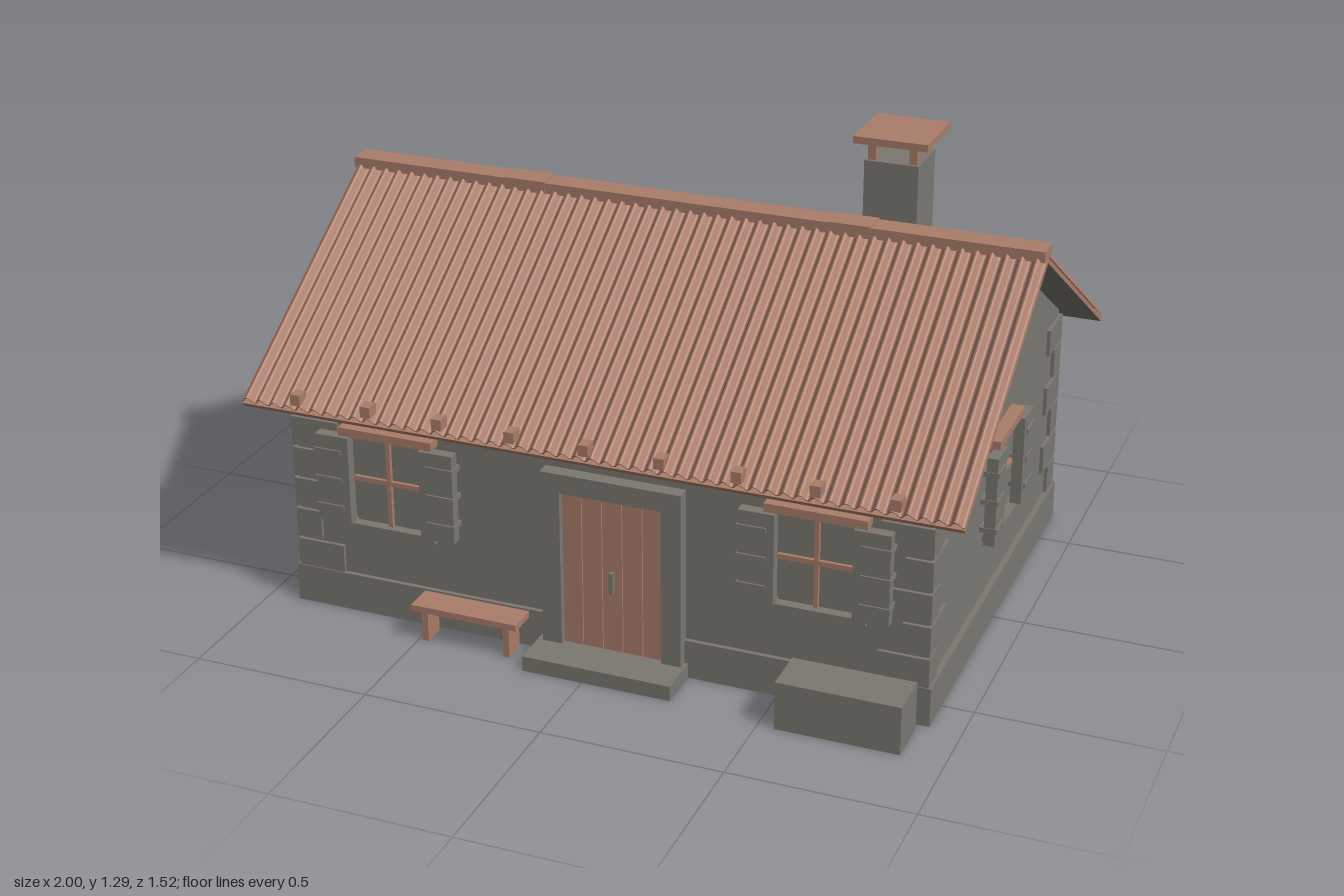
import * as THREE from 'three';

const stone = new THREE.MeshStandardMaterial({ color: 0x7b7871 });
stone.name = 'grey stone';
const clay = new THREE.MeshStandardMaterial({ color: 0xaa7c6a });
clay.name = 'red brown clay';

const MID = -0.025; // z of the ridge and house centre
const ANGLE = 0.558; // roof pitch

// Box given by its limits on each axis
function box(parent, name, mat, [x0, x1], [y0, y1], [z0, z1]) {
  const mesh = new THREE.Mesh(new THREE.BoxGeometry(x1 - x0, y1 - y0, z1 - z0), mat);
  mesh.position.set((x0 + x1) / 2, (y0 + y1) / 2, (z0 + z1) / 2);
  mesh.name = name;
  parent.add(mesh);
  return mesh;
}

function group(parent, name) {
  const g = new THREE.Group();
  g.name = name;
  parent.add(g);
  return g;
}

// Window with shutters, facing +z, origin at wall surface and sill height
function addWindow(parent, name, x, y, z, turn, half, outer) {
  const g = group(parent, name);
  g.position.set(x, y, z);
  g.rotation.y = turn;
  const h = 0.257;
  box(g, 'pane', stone, [-half, half], [0, h], [-0.005, 0.004]);
  box(g, 'mullion', clay, [-0.006, 0.006], [0, h], [0, 0.016]);
  box(g, 'glazingBar', clay, [-half, half], [h / 2 - 0.007, h / 2 + 0.007], [0, 0.014]);
  box(g, 'lintel', clay, [-half - 0.033, half + 0.033], [h, h + 0.024], [-0.01, 0.032]);
  box(g, 'sill', stone, [-half - 0.033, half + 0.033], [-0.021, 0], [-0.01, 0.032]);
  for (const s of [-1, 1]) {
    const span = (a, b) => [Math.min(s * a, s * b), Math.max(s * a, s * b)];
    box(g, 'shutter', stone, span(half, outer), [0, h], [0.012, 0.043]);
    for (const f of [0.18, 0.5, 0.82]) {
      box(g, 'hingeStrap', stone, span(half + 0.02, outer + 0.003), [h * f - 0.007, h * f + 0.007], [0, 0.048]);
    }
  }
}

// Corrugated tile sheet running down local +z
function tileGeometry(length) {
  const waves = 50, steps = waves * 8, top = [], bottom = [];
  for (let i = 0; i <= steps; i++) {
    const x = -1 + (2 * i) / steps;
    const y = 0.03 - 0.0095 * Math.cos((i / 8) * Math.PI * 2);
    top.push(new THREE.Vector2(x, y));
    bottom.push(new THREE.Vector2(x, y - 0.004));
  }
  const shape = new THREE.Shape([...bottom, ...top.reverse()]);
  return new THREE.ExtrudeGeometry(shape, { depth: length, bevelEnabled: false });
}

export function createModel() {
  const model = new THREE.Group();
  model.name = 'cottage';

  // Plinth and gabled walls
  box(model, 'plinth', stone, [-0.912, 0.912], [0, 0.11], [MID - 0.635, MID + 0.635]);
  const gable = new THREE.Shape([
    new THREE.Vector2(-0.622, 0.1), new THREE.Vector2(0.622, 0.1),
    new THREE.Vector2(0.622, 0.665), new THREE.Vector2(0, 1.053), new THREE.Vector2(-0.622, 0.665),
  ]);
  const walls = new THREE.Mesh(new THREE.ExtrudeGeometry(gable, { depth: 1.79, bevelEnabled: false }), stone);
  walls.name = 'walls';
  walls.rotation.y = Math.PI / 2;
  walls.position.set(-0.895, 0, MID);
  model.add(walls);

  // Corner stones, long and short in turn
  const quoins = group(model, 'cornerStones');
  for (const sx of [-1, 1]) for (const sz of [-1, 1]) for (let i = 0; i < 6; i++) {
    const lx = i % 2 ? 0.075 : 0.14, lz = i % 2 ? 0.14 : 0.075;
    const y = 0.107 + i * 0.0925;
    const xs = [sx * 0.905, sx * (0.905 - lx)].sort((a, b) => a - b);
    const zs = [MID + sz * 0.632, MID + sz * (0.632 - lz)].sort((a, b) => a - b);
    box(quoins, 'cornerStone', stone, xs, [y, y + (i === 5 ? 0.077 : 0.084)], zs);
  }

  // Both roof slopes
  const tiles = tileGeometry(0.853);
  for (const [name, turn] of [['frontRoof', 0], ['backRoof', Math.PI]]) {
    const side = group(model, name);
    side.position.set(0, 1.05, MID);
    side.rotation.y = turn;
    const slope = group(side, 'slope');
    slope.rotation.x = ANGLE;
    box(slope, 'roofBoard', [clay, clay, clay, stone, clay, clay], [-1, 1], [0, 0.013], [-0.004, 0.835]);
    const sheet = new THREE.Mesh(tiles, clay);
    sheet.name = 'roofTiles';
    sheet.position.z = -0.02;
    slope.add(sheet);
    // Snow guards along the eave
    for (let i = -4; i <= 4; i++) {
      const x = i * 0.2075;
      box(side, 'snowGuard', clay, [x - 0.014, x + 0.014], [-0.405, -0.374], [0.692, 0.73]);
    }
  }

  // Ridge cap with overlapping joints
  const ridge = group(model, 'ridgeCap');
  box(ridge, 'ridgeBoard', clay, [-1, 1], [1.063, 1.093], [MID - 0.037, MID + 0.037]);
  for (const x of [-0.47, 0.47]) {
    box(ridge, 'ridgeJoint', clay, [x - 0.06, x + 0.06], [1.062, 1.096], [MID - 0.039, MID + 0.039]);
  }

  // Chimney
  const chimney = group(model, 'chimney');
  box(chimney, 'stack', stone, [0.457, 0.608], [0.85, 1.222], [-0.3, -0.145]);
  for (const x of [0.475, 0.59]) for (const z of [-0.28, -0.165]) {
    box(chimney, 'capPost', clay, [x - 0.011, x + 0.011], [1.222, 1.276], [z - 0.011, z + 0.011]);
  }
  box(chimney, 'cap', clay, [0.433, 0.639], [1.275, 1.295], [-0.327, -0.118]);

  // Door with stone surround, planks, handle and step
  const door = group(model, 'door');
  box(door, 'leftJamb', stone, [0.185, 0.24], [0.04, 0.49], [0.59, 0.637]);
  box(door, 'rightJamb', stone, [-0.155, -0.1], [0.04, 0.49], [0.59, 0.637]);
  box(door, 'doorLintel', stone, [-0.155, 0.24], [0.49, 0.545], [0.59, 0.637]);
  box(door, 'doorBack', clay, [-0.1, 0.185], [0.04, 0.49], [0.6, 0.615]);
  for (let i = 0; i < 5; i++) {
    const x = -0.1 + i * 0.057;
    box(door, 'plank', clay, [x + 0.002, x + 0.055], [0.043, 0.488], [0.61, 0.621]);
  }
  box(door, 'handle', stone, [0.037, 0.048], [0.22, 0.28], [0.62, 0.635]);
  box(door, 'step', stone, [-0.17, 0.25], [0, 0.043], [0.6, 0.738]);

  // Windows on all four walls
  addWindow(model, 'frontRightWindow', -0.606, 0.288, 0.607, 0, 0.105, 0.203);
  addWindow(model, 'frontLeftWindow', 0.603, 0.288, 0.607, 0, 0.105, 0.203);
  addWindow(model, 'leftGableWindow', 0.9, 0.3, -0.022, Math.PI / 2, 0.09, 0.18);
  addWindow(model, 'rightGableWindow', -0.9, 0.3, -0.16, -Math.PI / 2, 0.09, 0.18);
  addWindow(model, 'backWindow', -0.04, 0.3, -0.648, Math.PI, 0.09, 0.18);

  // Bench
  const bench = group(model, 'bench');
  box(bench, 'benchSeat', clay, [-0.515, -0.205], [0.09, 0.108], [0.615, 0.7]);
  for (const x of [-0.48, -0.24]) {
    box(bench, 'benchLeg', clay, [x - 0.009, x + 0.009], [0, 0.09], [0.625, 0.69]);
  }

  // Stone trough beside the wall
  box(model, 'trough', stone, [0.547, 0.882], [0, 0.137], [0.632, 0.765]);

  return model;
}
